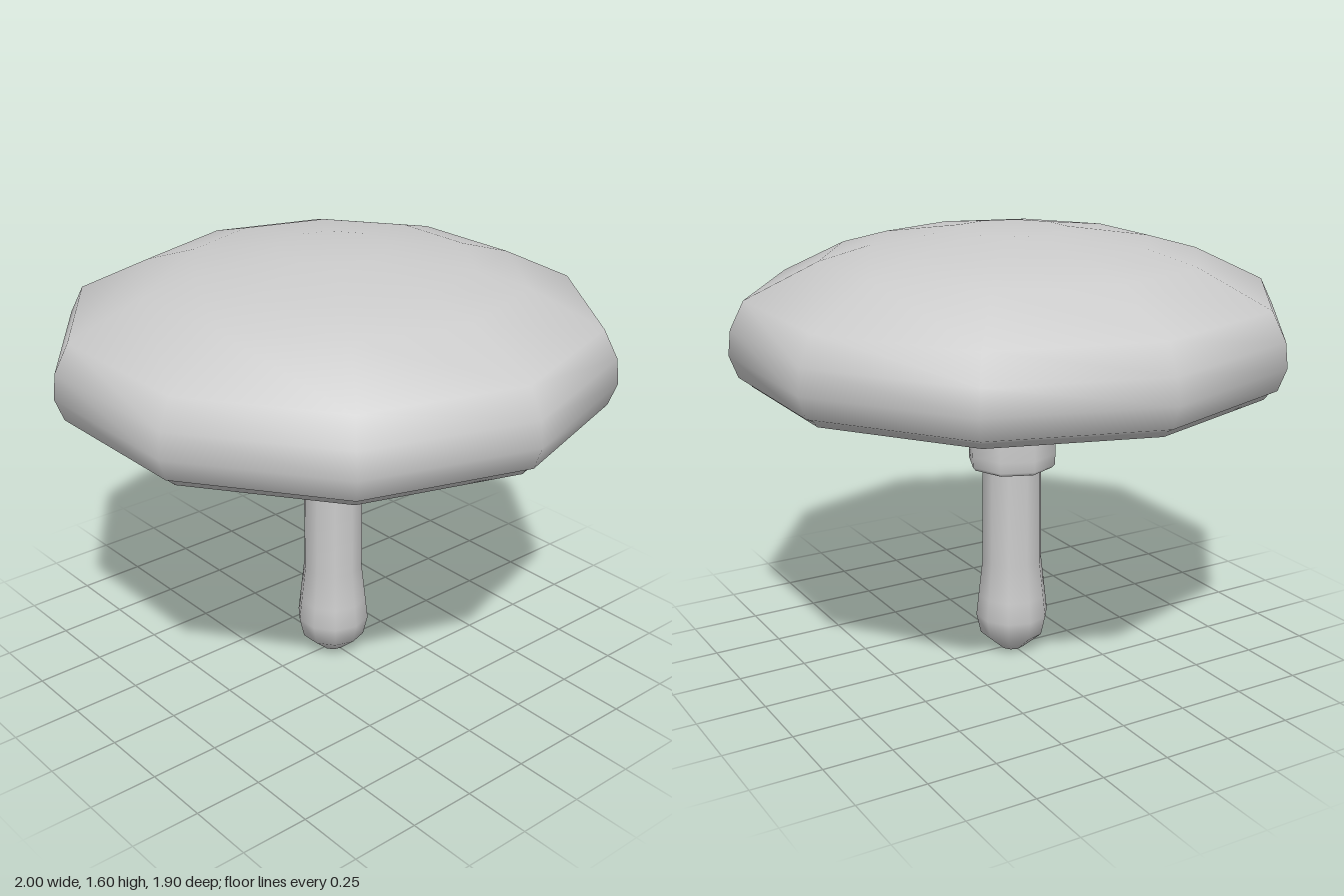
import * as THREE from 'three';

// Revolves a [radius, height] profile, with a corner on the x axis
function turned(name, sides, profile) {
  const points = profile.map(([r, y]) => new THREE.Vector2(r, y));
  const geometry = new THREE.LatheGeometry(points, sides, Math.PI / 2);
  const material = new THREE.MeshStandardMaterial({ color: 0xcccccc, side: THREE.DoubleSide });
  const mesh = new THREE.Mesh(geometry, material);
  mesh.name = name;
  return mesh;
}

export function createModel() {
  const mushroom = new THREE.Group();
  mushroom.name = 'mushroom';

  // Hollow ten-sided cap: underside, rim lip, rounded edge, then crown
  mushroom.add(turned('cap', 10, [
    [0, 1.46], [0.3, 1.45], [0.6, 1.4], [0.8, 1.31], [0.89, 1.2], [0.9, 1.11],
    [0.9, 1.075], [0.925, 1.075], [0.94, 1.095], [0.97, 1.11],
    [1.0, 1.19], [0.99, 1.28], [0.94, 1.38], [0.68, 1.505],
    [0.5, 1.555], [0.2, 1.597], [0, 1.597],
  ]));

  // Stem with a swollen, tapered foot
  mushroom.add(turned('stem', 10, [
    [0, 0], [0.045, 0], [0.12, 0.065], [0.137, 0.14], [0.128, 0.22],
    [0.112, 0.36], [0.11, 0.74], [0.11, 1.47],
  ]));

  // Flared skirt hanging around the stem, folded back inside its hem
  mushroom.add(turned('skirt', 8, [
    [0.112, 0.84], [0.138, 0.78], [0.142, 0.735], [0.153, 0.727], [0.163, 0.74],
    [0.164, 0.78], [0.162, 0.9], [0.145, 1.08], [0.125, 1.22], [0.108, 1.31],
  ]));

  return mushroom;
}
